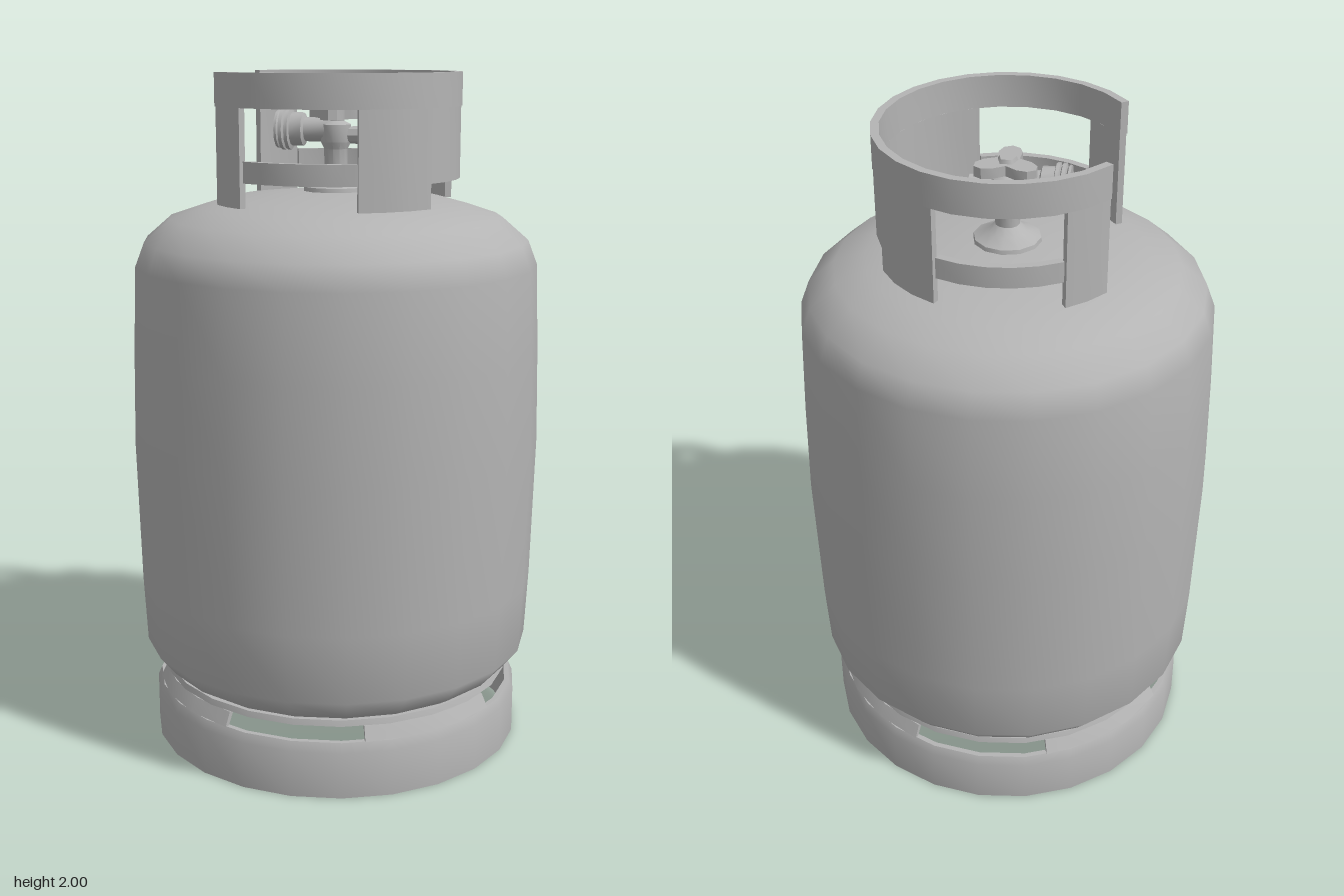
import * as THREE from 'three';
import { mergeGeometries, toCreasedNormals } from 'three/addons/utils/BufferGeometryUtils.js';

const DEG = Math.PI / 180;
const grey = new THREE.MeshStandardMaterial({ color: 0xb4b4b4, side: THREE.DoubleSide });
grey.name = 'grey paint';

const pts = (list) => list.map(([x, y]) => new THREE.Vector2(x, y));

function add(parent, name, geometry, x = 0, y = 0, z = 0) {
  const mesh = new THREE.Mesh(geometry, grey);
  mesh.name = name;
  mesh.position.set(x, y, z);
  parent.add(mesh);
  return mesh;
}

// Revolves a closed profile from angle a0 to a1 (0 = +x, 90 = +z) and caps the ends.
function sector(profile, a0, a1, step = 12) {
  const p = pts(profile);
  const segments = Math.max(1, Math.round((a1 - a0) / step));
  const parts = [new THREE.LatheGeometry([...p, p[0]], segments, (90 - a1) * DEG, (a1 - a0) * DEG)];
  if (a1 - a0 < 360) {
    for (const a of [a0, a1]) parts.push(new THREE.ShapeGeometry(new THREE.Shape(p)).rotateY(-a * DEG));
  }
  return toCreasedNormals(mergeGeometries(parts), 0.6);
}

// Rectangular profile between two radii and two heights
const wall = (r0, r1, y0, y1) => [[r1, y0], [r1, y1], [r0, y1], [r0, y0]];

function createTank(root) {
  const profile = pts([
    [0, 0.12], [0.25, 0.14], [0.42, 0.18], [0.5, 0.215], [0.54, 0.24], [0.588, 0.3],
    [0.598, 0.5], [0.608, 0.92], [0.602, 1.2], [0.592, 1.45], [0.565, 1.52],
    [0.49, 1.585], [0.4, 1.615], [0.31, 1.64], [0.12, 1.66], [0, 1.66],
  ]);
  add(root, 'tank', new THREE.LatheGeometry(profile, 22));
}

function createFoot(root) {
  const foot = new THREE.Group();
  foot.name = 'footRing';
  root.add(foot);
  add(foot, 'footBand', sector([
    [0.562, 0], [0.562, 0.138], [0.55, 0.165], [0.535, 0.165], [0.545, 0.135], [0.545, 0],
  ], 0, 360, 15));
  add(foot, 'footUpperRim', sector([[0.53, 0.205], [0.525, 0.222], [0.49, 0.222], [0.512, 0.205]], 0, 360, 15));
  // Shoulder pieces between the four ventilation slots
  for (let i = 0; i < 4; i++) {
    add(foot, 'footShoulder', sector([
      [0.55, 0.165], [0.53, 0.205], [0.512, 0.205], [0.535, 0.165],
    ], 22 + 90 * i, 68 + 90 * i, 15));
  }
}

function createCollar(root) {
  const collar = new THREE.Group();
  collar.name = 'guardCollar';
  root.add(collar);
  add(collar, 'collarBand', sector(wall(0.342, 0.365, 1.905, 2), -146, 146, 14));
  add(collar, 'collarSidePanel', sector(wall(0.342, 0.362, 1.7, 1.905), -30, 30));
  for (const side of [-1, 1]) {
    const piece = (name, profile, a0, a1) =>
      add(collar, name, sector(profile, Math.min(side * a0, side * a1), Math.max(side * a0, side * a1)));
    piece('collarWideLeg', wall(0.342, 0.362, 1.63, 1.905), 30, 67);
    piece('collarBar', wall(0.328, 0.35, 1.7, 1.76), 67, 124);
    piece('collarEndLeg', wall(0.342, 0.362, 1.63, 1.905), 124, 146);
  }
}

function createValve(root) {
  const valve = new THREE.Group();
  valve.name = 'valve';
  root.add(valve);
  // Flange and stem
  const stem = pts([[0.1, 1.64], [0.095, 1.672], [0.055, 1.69], [0.035, 1.71],
    [0.035, 1.78], [0.045, 1.8], [0.045, 1.85], [0.025, 1.86], [0.025, 1.89], [0, 1.89]]);
  add(valve, 'valveStem', toCreasedNormals(new THREE.LatheGeometry(stem, 12), 0.6));
  // Threaded outlet pointing to the collar opening
  const outlet = pts([[0.035, 0], [0.035, 0.09], [0.048, 0.095], [0.048, 0.13], [0.06, 0.133],
    [0.06, 0.143], [0.048, 0.146], [0.06, 0.15], [0.06, 0.16], [0.048, 0.163],
    [0.055, 0.167], [0.055, 0.174], [0.032, 0.174], [0.03, 0.13], [0, 0.13]]);
  add(valve, 'valveOutlet', toCreasedNormals(
    new THREE.LatheGeometry(outlet, 12).rotateZ(Math.PI / 2), 0.6), 0, 1.835, 0);
  // Safety plug opposite the outlet
  add(valve, 'safetyPlug', toCreasedNormals(
    new THREE.CylinderGeometry(0.028, 0.022, 0.1, 8).rotateZ(-Math.PI / 2), 0.6), 0.055, 1.82, 0);
  // Three-lobed hand knob
  const lobes = [];
  for (let i = 0; i < 24; i++) {
    const a = i * 15 * DEG;
    const r = 0.066 + 0.031 * Math.cos(3 * (a - Math.PI / 2));
    lobes.push([r * Math.cos(a), r * Math.sin(a)]);
  }
  const knob = new THREE.ExtrudeGeometry(new THREE.Shape(pts(lobes)), { depth: 0.03, bevelEnabled: false });
  add(valve, 'handKnob', toCreasedNormals(knob.rotateX(Math.PI / 2), 0.6), 0, 1.895, 0);
  add(valve, 'knobCap', new THREE.CylinderGeometry(0.025, 0.03, 0.012, 5), 0, 1.9, 0);
}

export function createModel() {
  const root = new THREE.Group();
  root.name = 'gasCylinder';
  createTank(root);
  createFoot(root);
  createCollar(root);
  createValve(root);
  return root;
}
